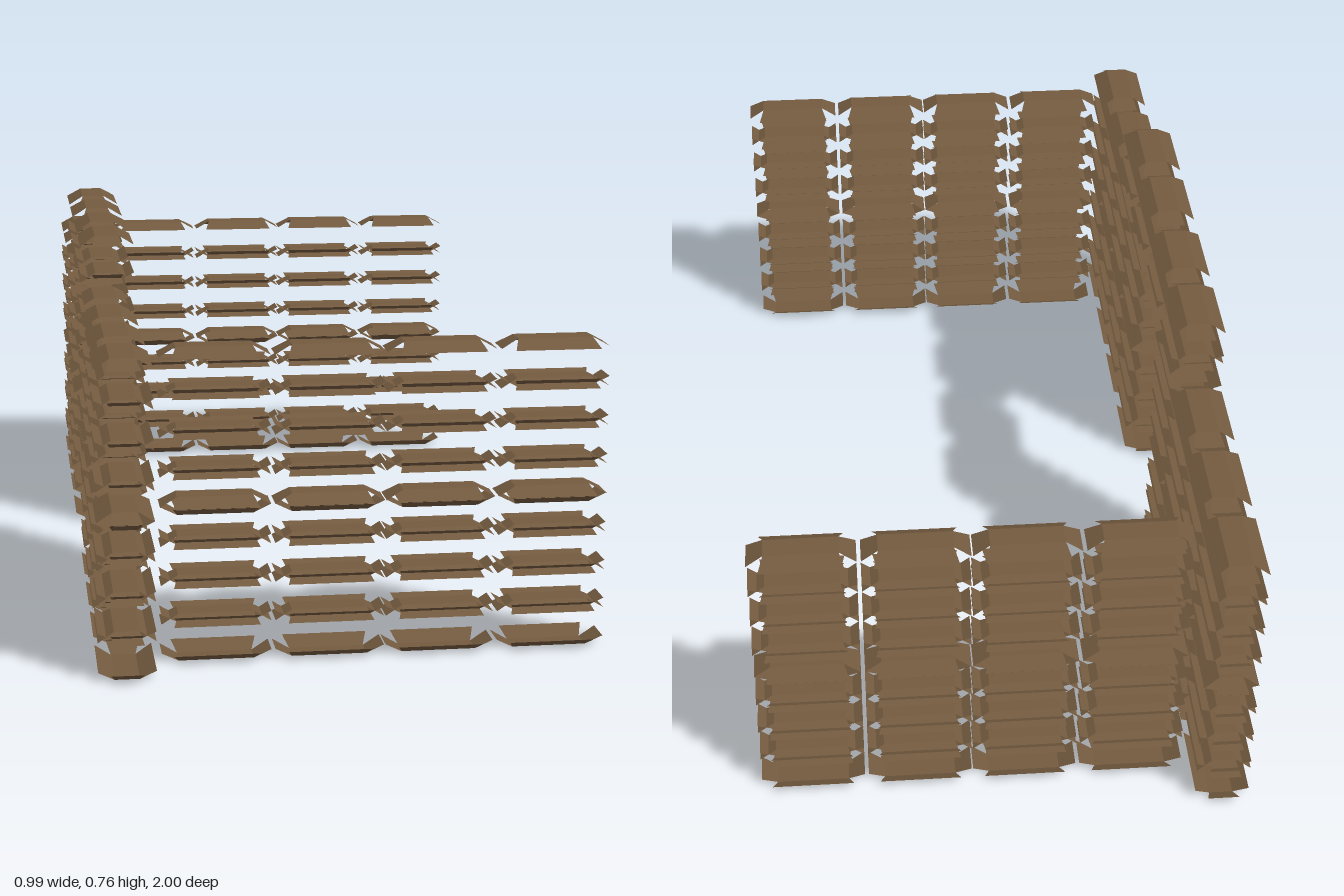
import * as THREE from 'three';

const H = 0.094;    // bag height
const STEP = 0.077; // layer spacing, bags sink slightly into each other
const DROP = 0.018; // height of the sloped edges

// Open sandbag shell: a top and a bottom sheet, each a flat panel with four
// sloped flaps and open corners. Long axis along x.
function bagGeometry() {
  const ix = 0.073, iz = 0.024;
  const pos = [];
  const quad = (pts, bottom) => {
    const p = pts.map(([x, y, z]) => [x, bottom ? H - y : y, z]);
    if (bottom) p.reverse();
    for (const i of [0, 1, 2, 0, 2, 3]) pos.push(...p[i]);
  };
  for (const bottom of [false, true]) {
    quad([[-ix, H, iz], [ix, H, iz], [ix, H, -iz], [-ix, H, -iz]], bottom);
    for (const s of [1, -1]) {
      // Long side flap
      quad([[-0.083 * s, H - DROP, 0.055 * s], [0.083 * s, H - DROP, 0.055 * s],
        [ix * s, H, iz * s], [-ix * s, H, iz * s]], bottom);
      // End flap
      quad([[0.106 * s, H - DROP, 0.032 * s], [0.106 * s, H - DROP, -0.032 * s],
        [ix * s, H, -iz * s], [ix * s, H, iz * s]], bottom);
    }
  }
  const g = new THREE.BufferGeometry();
  g.setAttribute('position', new THREE.Float32BufferAttribute(pos, 3));
  g.computeVertexNormals();
  return g;
}

export function createModel() {
  const model = new THREE.Group();
  model.name = 'sandbagBarricade';
  const burlap = new THREE.MeshStandardMaterial({ color: 0x735a3f, side: THREE.DoubleSide, flatShading: true });
  burlap.name = 'burlapBrown';
  const geometry = bagGeometry();

  // Stack bags at each [x, z] spot for every layer height
  function wall(name, spots, heights, alongZ) {
    const group = new THREE.Group();
    group.name = name;
    for (const y of heights) {
      for (const [x, z] of spots) {
        const bag = new THREE.Mesh(geometry, burlap);
        bag.name = 'sandbag';
        bag.position.set(x, y, z);
        if (alongZ) bag.rotation.y = Math.PI / 2;
        group.add(bag);
      }
    }
    model.add(group);
  }
  const layers = (base, n) => Array.from({ length: n }, (_, i) => base + i * STEP);

  // Two four-layer stacks, one on top of the other
  const full = [...layers(0, 4), ...layers(0.29, 4)];
  const wingX = [-0.268, -0.048, 0.167, 0.387];
  wall('frontWing', wingX.map(x => [x, 0.846]), full, false);
  wall('backWing', wingX.map(x => [x, -0.85]), full, false);

  // Long wall, split by the doorway
  const wallX = -0.445;
  wall('frontLongWall', [0.892, 0.675, 0.467, 0.245].map(z => [wallX, z]), full, true);
  wall('backLongWall', [-0.255, -0.48, -0.69, -0.894].map(z => [wallX, z]), full, true);

  // Two layers bridging the doorway
  wall('doorwayLintel', [0.338, 0.128, -0.098, -0.308].map(z => [wallX, z]), layers(0.59, 2), true);

  return model;
}
